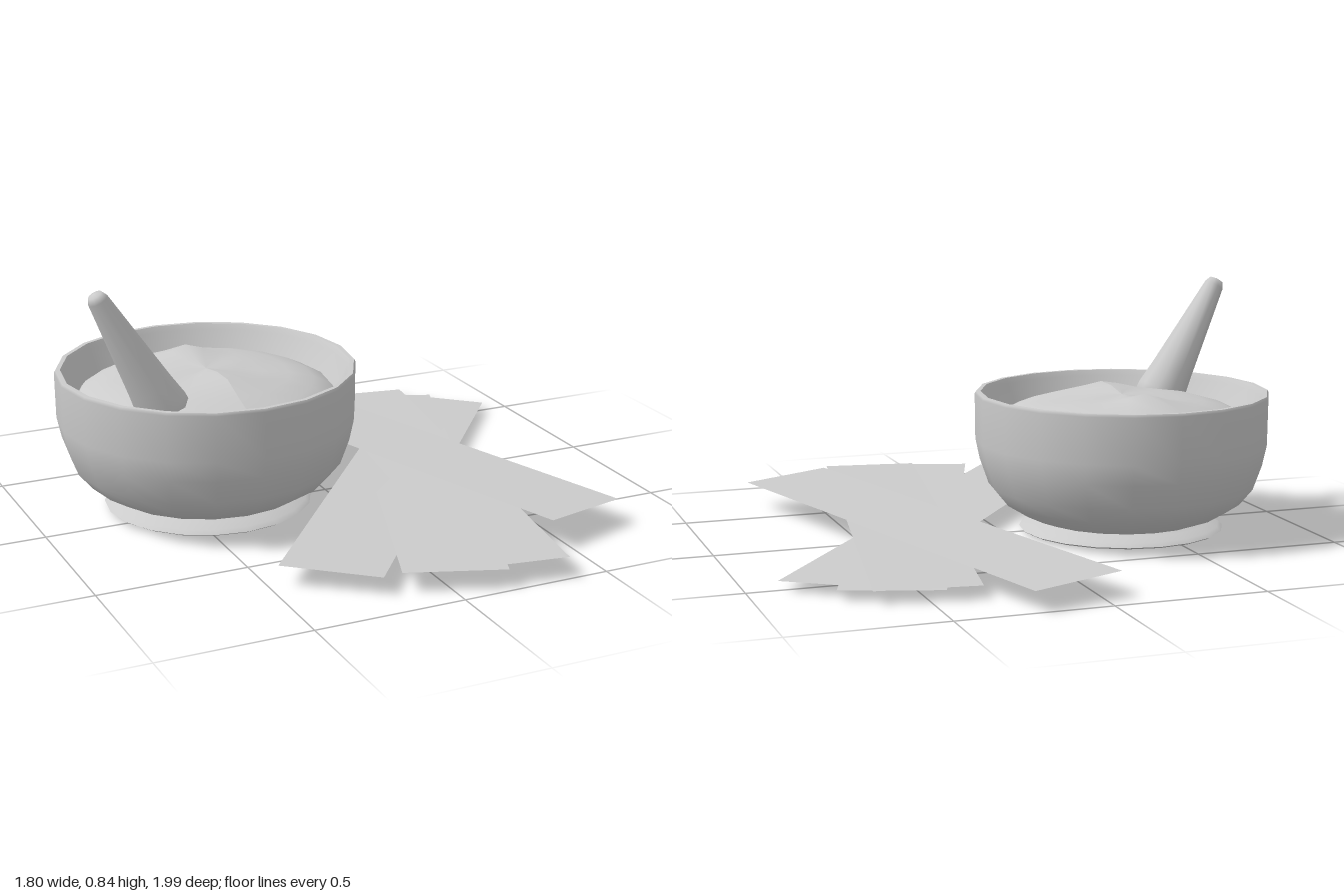
import * as THREE from 'three';

const material = new THREE.MeshStandardMaterial({ color: 0xcccccc, side: THREE.DoubleSide });

function addMesh(parent, name, geometry) {
  const mesh = new THREE.Mesh(geometry, material);
  mesh.name = name;
  parent.add(mesh);
  return mesh;
}

function lathe(profile, sides) {
  return new THREE.LatheGeometry(profile.map(([r, y]) => new THREE.Vector2(r, y)), sides);
}

// Mound filling the bowl: a shallow dome with two low bumps
function moundGeometry() {
  const geometry = lathe([[0.44, 0.375], [0.42, 0.4], [0.36, 0.43], [0.28, 0.453], [0.19, 0.465], [0.1, 0.468], [0, 0.47]], 20);
  const bumps = [[0, 0.15, 0.03], [0, -0.19, 0.035], [0.2, 0.05, -0.015], [-0.2, -0.08, -0.012]];
  const p = geometry.attributes.position;
  for (let i = 0; i < p.count; i++) {
    let y = p.getY(i);
    for (const [x, z, h] of bumps) {
      const d2 = (p.getX(i) - x) ** 2 + (p.getZ(i) - z) ** 2;
      y += h * Math.exp(-d2 / 0.006);
    }
    p.setY(i, y);
  }
  geometry.computeVertexNormals();
  return geometry;
}

// Flat sheet from its four corners, given in order around the edge
function sheetGeometry(corners) {
  const geometry = new THREE.BufferGeometry();
  geometry.setAttribute('position', new THREE.Float32BufferAttribute(corners.flat(), 3));
  geometry.setIndex([0, 1, 2, 0, 2, 3]);
  geometry.computeVertexNormals();
  return geometry;
}

export function createModel() {
  const model = new THREE.Group();
  model.name = 'mortarAndPestleWithStrips';

  // Mortar bowl on a flared foot
  const mortar = new THREE.Group();
  mortar.name = 'mortar';
  mortar.position.set(-0.4, 0, -0.08);
  model.add(mortar);
  addMesh(mortar, 'footBase', lathe([[0, 0], [0.34, 0.01], [0.35, 0.016]], 20));
  addMesh(mortar, 'foot', lathe([[0.35, 0.016], [0.335, 0.028], [0.3, 0.04], [0.285, 0.047]], 20));
  addMesh(mortar, 'bowlOuter', lathe([[0.285, 0.047], [0.34, 0.067], [0.41, 0.11], [0.455, 0.165],
    [0.485, 0.25], [0.5, 0.32], [0.502, 0.475], [0.497, 0.484]], 20));
  addMesh(mortar, 'rim', lathe([[0.497, 0.484], [0.482, 0.484]], 20));
  addMesh(mortar, 'bowlInner', lathe([[0.482, 0.484], [0.472, 0.465], [0.435, 0.38], [0.41, 0.34]], 20));
  addMesh(mortar, 'contents', moundGeometry());

  // Tapered pestle leaning over the rim
  const foot = new THREE.Vector3(-0.59, 0.36, 0.115);
  const tip = new THREE.Vector3(-0.845, 0.832, 0.12);
  const length = foot.distanceTo(tip);
  const pestle = addMesh(model, 'pestle', lathe([[0, -0.02], [0.05, -0.01], [0.085, 0.04], [0.086, 0.09], [0.074, 0.17],
    [0.034, length - 0.025], [0.024, length - 0.005], [0, length]], 10));
  pestle.position.copy(foot);
  pestle.quaternion.setFromUnitVectors(new THREE.Vector3(0, 1, 0), tip.clone().sub(foot).normalize());

  // Fan of thin overlapping strips
  const strips = [
    [[-0.06, 0.08, -0.91], [0.43, 0.105, 0.79], [0.74, 0.09, 0.69], [0.25, 0.067, -1.0]],
    [[-0.47, 0.068, 0.67], [-0.21, 0.06, 0.87], [0.9, 0.03, -0.5], [0.64, 0.038, -0.71]],
    [[-0.15, 0.066, 0.875], [0.16, 0.064, 0.985], [0.76, 0.03, -0.67], [0.45, 0.032, -0.78]],
    [[0.045, 0.069, 0.94], [0.37, 0.069, 0.99], [0.67, 0.04, -0.75], [0.34, 0.042, -0.8]],
  ];
  strips.forEach((corners, i) => addMesh(model, `strip${i + 1}`, sheetGeometry(corners)));

  return model;
}
